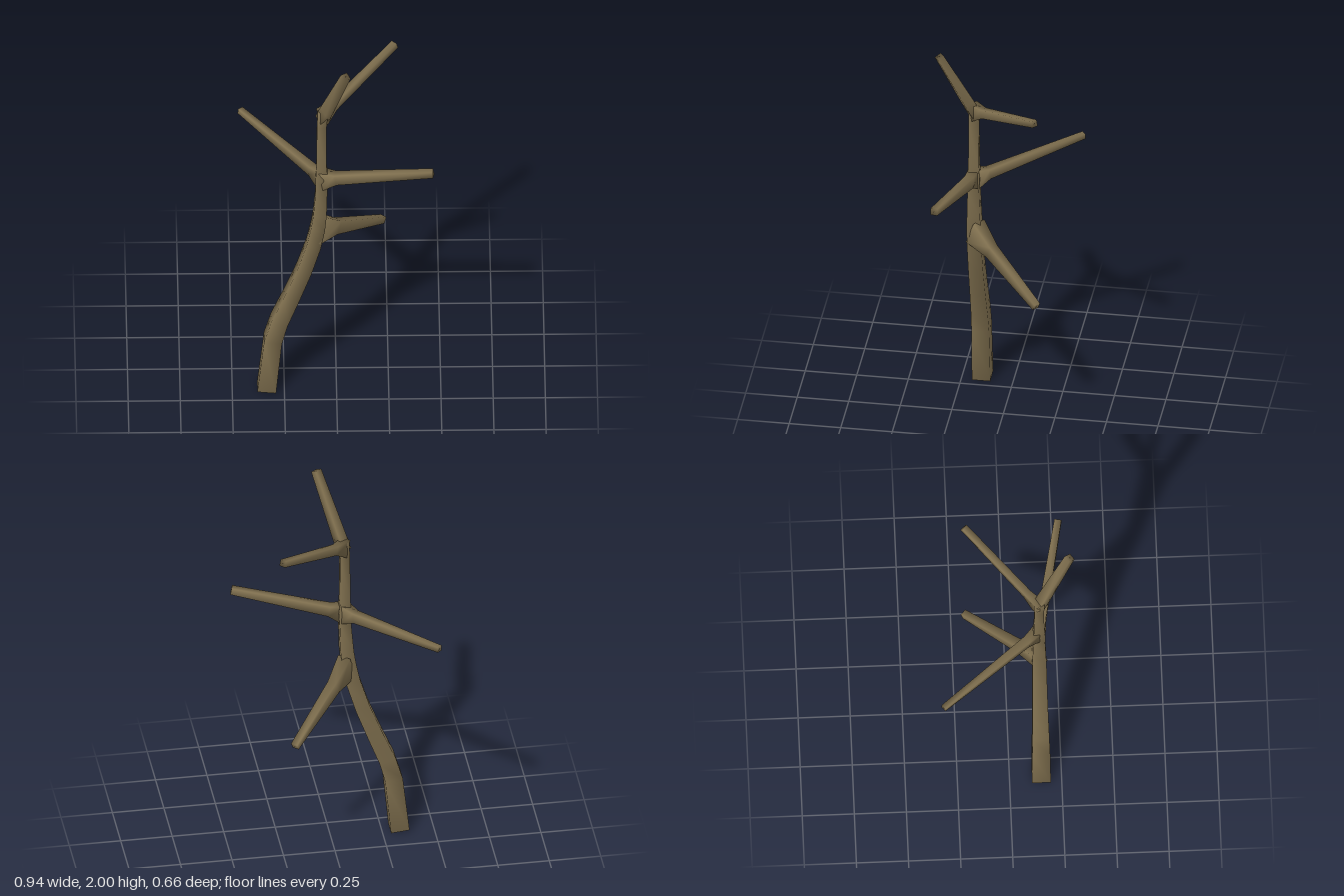
import * as THREE from 'three';

const UP = new THREE.Vector3(0, 1, 0);
const FRONT = new THREE.Vector3(0, 0, 1);

// Four-sided limb swept through rings of [x, y, z, width, height], smooth shaded
function limb(name, rings, ref, material) {
  const centres = rings.map(r => new THREE.Vector3(r[0], r[1], r[2]));
  const last = rings.length - 1;
  const positions = [], index = [];
  rings.forEach(([, , , w, h], i) => {
    const t = centres[Math.min(i + 1, last)].clone().sub(centres[Math.max(i - 1, 0)]).normalize();
    const u = ref.clone().cross(t).normalize();
    const v = t.clone().cross(u);
    for (const [a, b] of [[1, 1], [-1, 1], [-1, -1], [1, -1]]) {
      const p = centres[i].clone().addScaledVector(u, a * w / 2).addScaledVector(v, b * h / 2);
      positions.push(p.x, p.y, p.z);
    }
    if (i === last) return;
    for (let j = 0; j < 4; j++) {
      const a = i * 4 + j, b = i * 4 + (j + 1) % 4;
      index.push(a, b, a + 4, b, b + 4, a + 4);
    }
  });
  // End caps
  const e = last * 4;
  index.push(0, 2, 1, 0, 3, 2, e, e + 1, e + 2, e, e + 2, e + 3);
  const geometry = new THREE.BufferGeometry();
  geometry.setAttribute('position', new THREE.Float32BufferAttribute(positions, 3));
  geometry.setIndex(index);
  geometry.computeVertexNormals();
  const mesh = new THREE.Mesh(geometry, material);
  mesh.name = name;
  return mesh;
}

// Straight branch, flared where it leaves the trunk
function branch(name, base, tip, flare, neck, neckAt, end, material) {
  const a = new THREE.Vector3(...base), b = new THREE.Vector3(...tip);
  const n = a.clone().lerp(b, neckAt);
  return limb(name, [
    [...base, ...flare],
    [n.x, n.y, n.z, ...neck],
    [...tip, end, end],
  ], UP, material);
}

export function createModel() {
  const group = new THREE.Group();
  group.name = 'bareTree';
  const bark = new THREE.MeshStandardMaterial({ color: 0x80704f });
  bark.name = 'bark';

  // Curved trunk, thinning upward with a slight swelling at each fork
  const trunk = [
    [-0.335, 0.005, 0.09], [-0.305, 0.30, 0.086], [-0.275, 0.41, 0.082],
    [-0.215, 0.56, 0.076], [-0.155, 0.72, 0.072], [-0.11, 0.87, 0.07],
    [-0.09, 0.97, 0.068], [-0.08, 1.05, 0.064], [-0.072, 1.20, 0.056],
    [-0.07, 1.27, 0.062], [-0.072, 1.33, 0.05], [-0.071, 1.58, 0.046],
    [-0.066, 1.67, 0.05],
  ].map(([x, y, w]) => [x, y, 0.153, w, w]);
  group.add(limb('trunk', trunk, FRONT, bark));

  // Forked top
  group.add(branch('topBranch', [-0.068, 1.62, 0.148], [0.042, 1.988, 0.304],
    [0.05, 0.05], [0.048, 0.05], 0.2, 0.036, bark));
  group.add(branch('upperBranch', [-0.07, 1.632, 0.152], [0.285, 1.802, -0.195],
    [0.05, 0.09], [0.036, 0.045], 0.16, 0.032, bark));

  // Middle pair
  group.add(branch('middleLeftBranch', [-0.07, 1.26, 0.153], [0.461, 1.372, 0.265],
    [0.06, 0.1], [0.045, 0.055], 0.13, 0.034, bark));
  group.add(branch('middleRightBranch', [-0.07, 1.262, 0.148], [-0.456, 1.316, -0.32],
    [0.06, 0.1], [0.042, 0.052], 0.12, 0.028, bark));

  // Drooping lower branch
  group.add(branch('lowerBranch', [-0.085, 0.957, 0.15], [0.226, 0.748, -0.195],
    [0.068, 0.14], [0.046, 0.07], 0.27, 0.034, bark));
  return group;
}
